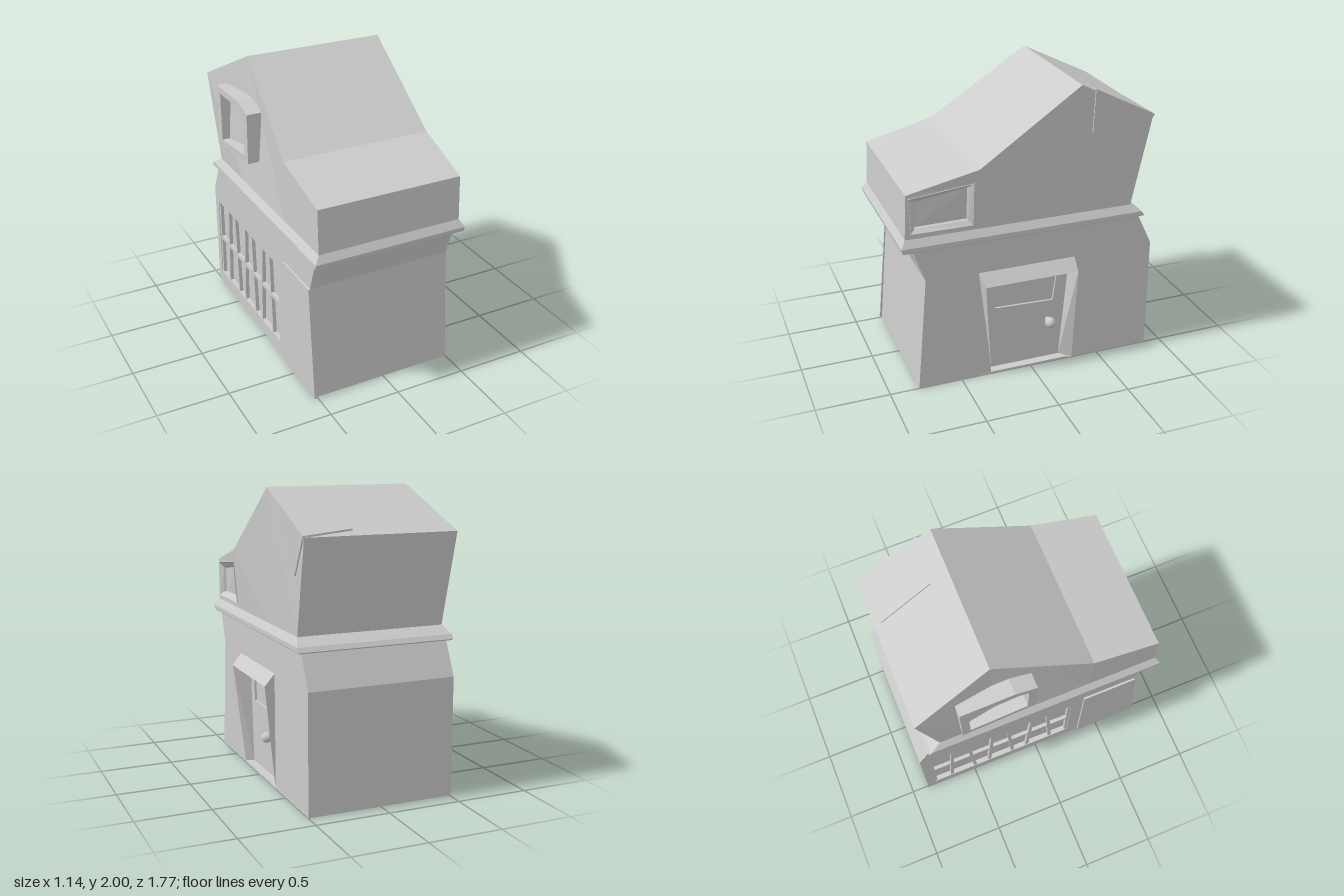
import * as THREE from 'three';

const mat = new THREE.MeshStandardMaterial({ color: 0xcccccc, flatShading: true, side: THREE.DoubleSide });
const smooth = new THREE.MeshStandardMaterial({ color: 0xcccccc });

export function createModel() {
  const group = new THREE.Group();
  const add = (name, geo, m = mat) => {
    const mesh = new THREE.Mesh(geo, m);
    mesh.name = name;
    group.add(mesh);
    return mesh;
  };

  // Flat polygons given by [x, y, z] corners, counter-clockwise from outside
  const faces = (polys) => {
    const pos = [];
    for (const p of polys)
      for (let i = 1; i < p.length - 1; i++) pos.push(...p[0], ...p[i], ...p[i + 1]);
    const g = new THREE.BufferGeometry();
    g.setAttribute('position', new THREE.Float32BufferAttribute(pos, 3));
    g.computeVertexNormals();
    return g;
  };
  // Band of quads between two closed loops
  const band = (a, b) => a.map((p, i) => {
    const j = (i + 1) % a.length;
    return [p, b[i], b[j], a[j]];
  });
  // Horizontal rectangle as a loop
  const rect = (y, x0, x1, zb, zf) => [[x0, y, zf], [x1, y, zf], [x1, y, zb], [x0, y, zb]];
  // Plate or slab parallel to a side wall; points are [z, y], depth grows outward
  const side = (x, pts, hole, depth = 0) => {
    const s = Math.sign(x);
    const v = (l) => l.map(([z, y]) => new THREE.Vector2(-s * z, y));
    const shape = new THREE.Shape(v(pts));
    if (hole) shape.holes.push(new THREE.Path(v(hole)));
    const g = depth ? new THREE.ExtrudeGeometry(shape, { depth, bevelEnabled: false })
      : new THREE.ShapeGeometry(shape);
    return g.rotateY(s * Math.PI / 2).translate(x, 0, 0);
  };
  const at = (x, pts) => pts.map(([z, y]) => [x, y, z]);

  const L = -0.51, R = 0.5;

  // Ground storey: front, back and base
  const prof = [[0, -0.88, 0.8], [0.8, -0.88, 0.73], [1.03, -0.77, 0.81]];
  const shell = [rect(0, L, R, -0.88, 0.8).reverse()];
  for (let i = 0; i < 2; i++) {
    const [y0, b0, f0] = prof[i], [y1, b1, f1] = prof[i + 1];
    shell.push([[L, y0, f0], [R, y0, f0], [R, y1, f1], [L, y1, f1]]);
    shell.push([[R, y0, b0], [L, y0, b0], [L, y1, b1], [R, y1, b1]]);
  }
  add('lowerFrontBackAndBase', faces(shell));

  // Right wall, notched for the doorway
  const top = [[-0.88, 0.8], [-0.77, 1.03], [0.81, 1.03], [0.73, 0.8], [0.8, 0]];
  const notch = [[0.29, 0], [0.305, 0.21], [0.345, 0.71], [-0.31, 0.71], [-0.31, 0]];
  add('lowerRightWall', side(R, [[-0.88, 0], ...top, ...notch]));

  // Left wall with a wide mullioned window
  const bay = [[-0.82, 0.1], [-0.82, 0.71], [0.26, 0.71], [0.26, 0.1]];
  add('lowerLeftWall', side(L, [[-0.88, 0], ...top], bay));
  add('bayWindowReveal', faces(band(at(L, bay), at(L + 0.035, bay))));
  add('bayWindowPane', side(L + 0.035, bay));
  add('bayWindowTransom', side(L + 0.03, [[-0.82, 0.39], [-0.82, 0.42], [0.26, 0.42], [0.26, 0.39]], null, 0.025));
  for (let i = 0; i <= 7; i++) {
    const z = -0.81 + i * 1.06 / 7;
    const lean = i % 7 ? 0.018 * (i % 2 ? 1 : -1) : 0;
    const w = 0.012;
    add('bayWindowMullion', side(L + 0.03,
      [[z - w - lean, 0.1], [z + w - lean, 0.1], [z + w + lean, 0.71], [z - w + lean, 0.71]], null, 0.025));
  }

  // Thin panel at the front end of the left wall
  add('leftCornerPanel', side(L, [[0.35, 0], [0.815, 0], [0.737, 0.8], [0.35, 0.8]], null, 0.014));

  // Moulded ledge between the storeys
  const ledge = [
    rect(1.02, -0.52, 0.51, -0.76, 0.8), rect(1.022, -0.535, 0.52, -0.8, 0.87),
    rect(1.03, -0.545, 0.53, -0.805, 0.88), rect(1.06, -0.545, 0.53, -0.785, 0.886),
    rect(1.11, L, R, -0.71, 0.855)];
  const ledgeFaces = [[...ledge[0]].reverse()];
  for (let i = 0; i < 4; i++) ledgeFaces.push(...band(ledge[i + 1], ledge[i]));
  add('ledge', faces(ledgeFaces));

  // Upper storey and roof
  const line = [[0.855, 1.11], [0.84, 1.41], [0.37, 1.53], [-0.31, 2], [-0.84, 1.73], [-0.71, 1.11]];
  const lx = [L, L, L, -0.445, -0.535, L];
  const rx = [R, R, 0.54, 0.54, 0.505, R];
  const lp = line.map(([z, y], i) => [lx[i], y, z]);
  const rp = line.map(([z, y], i) => [rx[i], y, z]);
  const roof = [];
  for (let i = 0; i < 5; i++) roof.push([lp[i], rp[i], rp[i + 1], lp[i + 1]]);
  add('upperFrontRoofAndBack', faces(roof));
  const foot = (x, z) => [x, 1.11, z];
  add('upperLeftWall', faces([
    [lp[0], lp[1], lp[2], foot(L, 0.37)],
    [foot(L, 0.37), lp[2], lp[3], foot(L, -0.31)],
    [foot(L, -0.31), lp[3], lp[4], lp[5]]]));

  // Upper right wall around the skewed front window
  const wallX = (z, y) => R + 0.04 * (y - 1.11) / 0.42 * (0.84 - z) / 0.47;
  const onWall = (pts, d) => pts.map(([z, y]) => [wallX(z, y) + d, y, z]);
  const win = [[0.825, 1.385], [0.405, 1.44], [0.405, 1.145], [0.815, 1.145]];
  const inner = [[0.785, 1.355], [0.43, 1.413], [0.433, 1.175], [0.787, 1.168]];
  const pane = [[0.778, 1.347], [0.437, 1.402], [0.44, 1.182], [0.78, 1.175]];
  add('upperRightWall', faces([
    ...band([rp[1], rp[2], foot(R, 0.37), rp[0]], onWall(win, 0)),
    [rp[2], foot(R, 0.37), foot(R, -0.2), rp[3]],
    [rp[3], foot(R, -0.2), foot(R, -0.31)],
    [rp[3], foot(R, -0.31), rp[5], rp[4]]]));
  add('frontWindow', faces([
    ...band(onWall(win, 0), onWall(win, 0.007)),
    ...band(onWall(win, 0.007), onWall(inner, -0.02)),
    ...band(onWall(inner, -0.02), onWall(pane, -0.035)),
    onWall(pane, -0.035).reverse()]));

  // Box-framed window on the left of the upper storey
  const box = [[-0.56, 1.3], [-0.565, 1.735], [-0.2, 1.745], [-0.05, 1.7], [-0.055, 1.35]];
  const boxHole = box.map(([z, y]) => [-0.31 + (z + 0.31) * 0.78, 1.53 + (y - 1.53) * 0.78]);
  add('boxWindowFrame', side(-0.44, box, boxHole, 0.132));

  // Sheet folded over the rear roof corner
  const roofY = (z) => 2 + (z + 0.31) * 0.51;
  const sheet = (d) => [[0.22, -0.435], [0.535, -0.405], [0.513, -0.842], [0.17, -0.79]]
    .map(([x, z]) => [x, roofY(z) + d, z]);
  add('roofPatch', faces([sheet(0.012), ...band(sheet(0.012), sheet(-0.01))]));
  const flap = (d) => [[0.537, 1.962, -0.405], [0.533, 1.675, -0.395], [0.51, 1.485, -0.71], [0.509, 1.738, -0.842]]
    .map(([x, y, z]) => [x + d, y, z]);
  add('roofPatchFlap', faces([flap(0.006), ...band(flap(0.006), flap(-0.03))]));

  // Leaning door surround: hood, cheeks and reveals
  const D = 0.445;
  const hl = [0.57, 0.71, 0.345], hr = [0.57, 0.71, -0.31];
  const wl = [R, 0.79, 0.37], wr = [R, 0.79, -0.31];
  const ml = [R, 0.21, 0.305], mr = [R, 0.21, -0.31];
  const bl = [R, 0, 0.29], br = [R, 0, -0.31];
  const dl = [D, 0.7, 0.32], dr = [D, 0.7, -0.29];
  const el = [D, 0.015, 0.27], er = [D, 0.015, -0.23];
  add('doorSurround', faces([
    [wl, hl, hr, wr], [wl, ml, hl], [wr, hr, mr],
    [hl, dl, dr, hr], [hl, ml, bl, el, dl], [hr, dr, er, br, mr], [bl, br, er, el]]));
  add('doorStep', side(R - 0.05, [[0.365, 0], [0.29, 0.014], [-0.25, 0.014], [-0.31, 0]], null, 0.052));

  // Door with a sunken panel and a round knob
  const leaf = [[0.32, 0.7], [-0.29, 0.7], [-0.23, 0.015], [0.27, 0.015]];
  const panel = [[0.25, 0.635], [-0.205, 0.635], [-0.18, 0.455], [0.235, 0.47]];
  add('door', side(D, leaf, panel));
  add('doorPanel', faces([
    ...band(at(D, panel), at(D - 0.015, panel)), at(D - 0.015, panel).reverse()]));
  add('doorKnob', new THREE.SphereGeometry(0.037, 20, 14), smooth).position.set(0.498, 0.31, -0.145);
  add('knobStem', new THREE.CylinderGeometry(0.016, 0.02, 0.05, 12).rotateZ(-Math.PI / 2), smooth)
    .position.set(0.465, 0.31, -0.145);

  return group;
}
